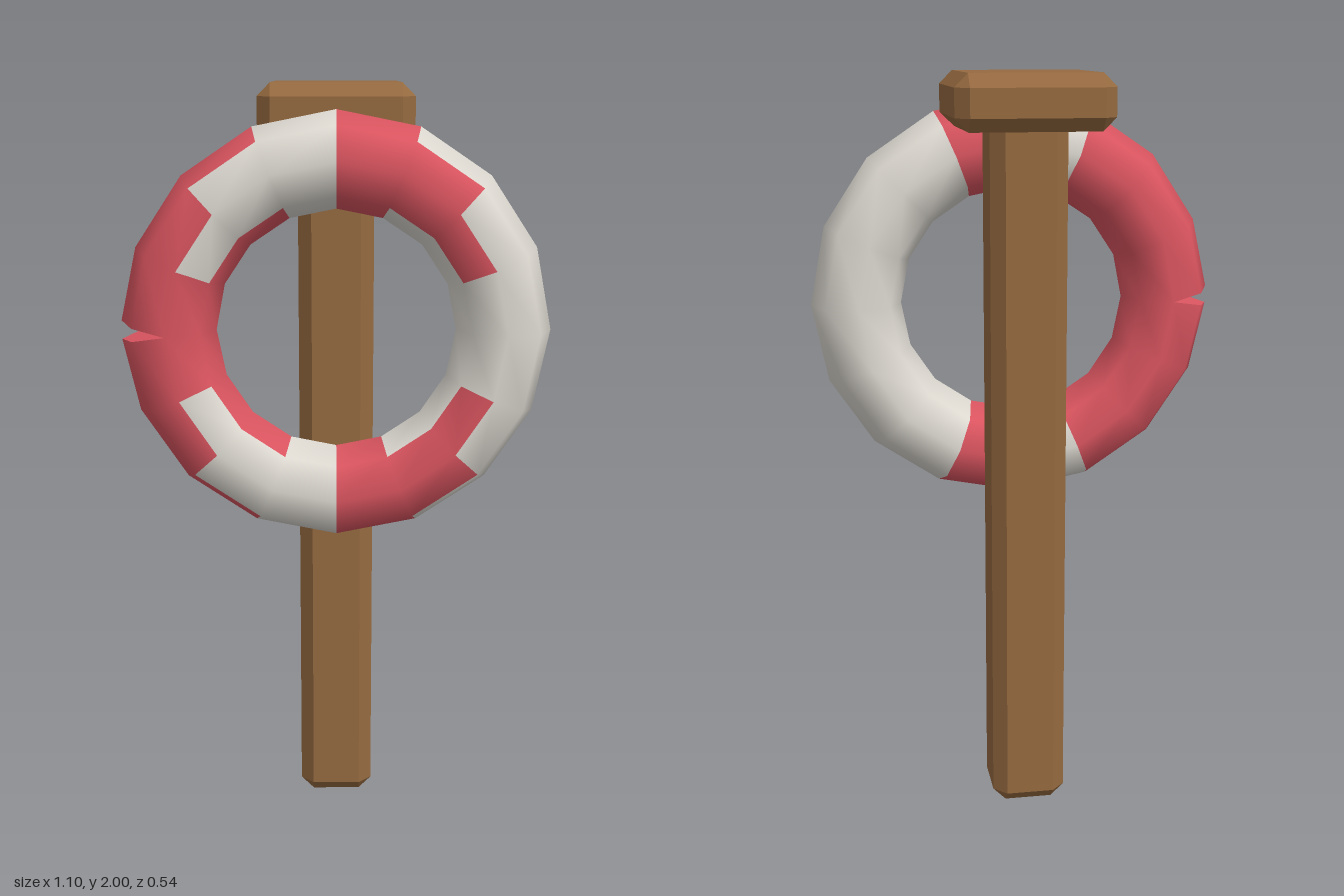
import * as THREE from 'three';
import { ConvexGeometry } from 'three/addons/geometries/ConvexGeometry.js';

const wood = new THREE.MeshStandardMaterial({ color: 0x966a40 });
wood.name = 'wood';
const red = new THREE.MeshStandardMaterial({ color: 0xdb5560, side: THREE.DoubleSide });
red.name = 'red';
const white = new THREE.MeshStandardMaterial({ color: 0xdedad2 });
white.name = 'white';

const RING = 0.43, TUBE = 0.122, SIDES = 8, SEGMENTS = 16, NOTCH = 0.024;

// Box with every edge cut off at 45 degrees
function chamferBox(name, w, h, d, c, y, z) {
  const points = [];
  for (const sx of [-1, 1]) for (const sy of [-1, 1]) for (const sz of [-1, 1]) {
    for (let axis = 0; axis < 3; axis++) {
      const p = [w / 2, h / 2, d / 2].map((half, i) => (i === axis ? half : half - c));
      points.push(new THREE.Vector3(sx * p[0], sy * p[1], sz * p[2]));
    }
  }
  const mesh = new THREE.Mesh(new ConvexGeometry(points), wood);
  mesh.name = name;
  mesh.position.set(0, y, z);
  return mesh;
}

// Offset that opens the notch on the outer half of the tube
const notchOffset = (x) => NOTCH * Math.max(0, -x - RING) / TUBE;

// Torus with its seam at -x, split open there and coloured face by face
function ringGeometry() {
  const geo = new THREE.TorusGeometry(RING, TUBE, SIDES, SEGMENTS).rotateZ(Math.PI);
  const pos = geo.attributes.position;
  for (let j = 0; j <= SIDES; j++) {
    const first = j * (SEGMENTS + 1), last = first + SEGMENTS;
    pos.setY(first, -notchOffset(pos.getX(first)));
    pos.setY(last, notchOffset(pos.getX(last)));
  }
  const reds = [], whites = [], source = geo.index.array;
  for (let j = 0; j < SIDES; j++) {
    // The bands reach further along the two front strips
    const reach = j === 1 ? 2 : j === 2 ? 3 : 1;
    for (let i = 0; i < SEGMENTS; i++) {
      const k = i % 8;
      const band = (k < 4 ? 3 - k : k - 4) < reach;
      const rightHalf = i >= 4 && i < 12;
      const start = (j * SEGMENTS + i) * 6;
      (rightHalf === band ? reds : whites).push(...source.slice(start, start + 6));
    }
  }
  geo.setIndex([...reds, ...whites]);
  geo.addGroup(0, reds.length, 0);
  geo.addGroup(reds.length, whites.length, 1);
  return geo;
}

// Half disc closing one side of the notch
function notchWall(side) {
  const geo = new THREE.CircleGeometry(TUBE, 4, Math.PI / 2, Math.PI);
  geo.rotateX(-Math.PI / 2).translate(-RING, 0, 0);
  const pos = geo.attributes.position;
  for (let i = 0; i < pos.count; i++) pos.setY(i, side * notchOffset(pos.getX(i)));
  geo.computeVertexNormals();
  const mesh = new THREE.Mesh(geo, red);
  mesh.name = side > 0 ? 'upperNotchWall' : 'lowerNotchWall';
  return mesh;
}

export function createModel() {
  const model = new THREE.Group();
  model.name = 'lifebuoyPost';

  // Wooden post and cap
  model.add(chamferBox('post', 0.2, 1.93, 0.2, 0.035, 0.965, -0.066));
  model.add(chamferBox('postCap', 0.4, 0.14, 0.4, 0.034, 1.93, -0.07));

  // Lifebuoy hanging on the front
  const buoy = new THREE.Group();
  buoy.name = 'lifebuoy';
  buoy.position.set(0, 1.384, 0.148);
  const ring = new THREE.Mesh(ringGeometry(), [red, white]);
  ring.name = 'ring';
  buoy.add(ring, notchWall(1), notchWall(-1));
  model.add(buoy);

  return model;
}
